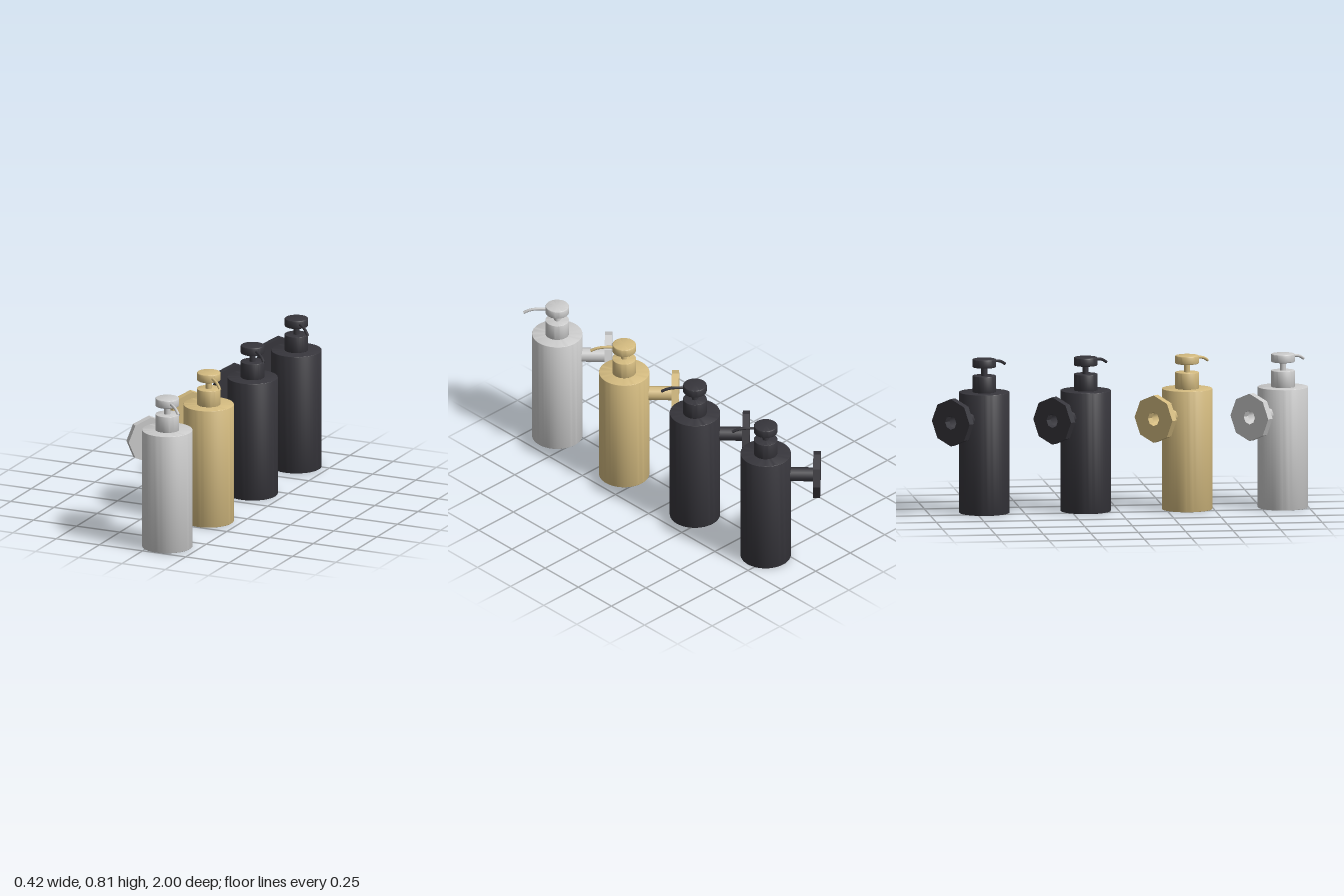
import * as THREE from 'three';
import { toCreasedNormals } from 'three/addons/utils/BufferGeometryUtils.js';

const BOTTLE_R = 0.132, MOUNT_Y = 0.506;

function material(name, color) {
  const m = new THREE.MeshStandardMaterial({ color, side: THREE.DoubleSide });
  m.name = name;
  return m;
}

// Upright turned solid with slightly softened rims
function turned(radius, y0, y1, bevel) {
  const b = bevel, pts = [[0, y0], [radius - b, y0]];
  for (const a of [0.25, 0.5, 0.75, 1]) {
    const t = a * Math.PI / 2;
    pts.push([radius - b + b * Math.sin(t), y0 + b - b * Math.cos(t)]);
  }
  for (const a of [0, 0.25, 0.5, 0.75, 1]) {
    const t = a * Math.PI / 2;
    pts.push([radius - b + b * Math.cos(t), y1 - b + b * Math.sin(t)]);
  }
  pts.push([0, y1]);
  const g = new THREE.LatheGeometry(pts.map(p => new THREE.Vector2(...p)), 48);
  return toCreasedNormals(g, 0.6);
}

// Octagonal wall plate with a central bore
function plateGeometry() {
  const ring = r => Array.from({ length: 8 }, (_, i) =>
    new THREE.Vector2(r * Math.cos(i * Math.PI / 4), r * Math.sin(i * Math.PI / 4)));
  const shape = new THREE.Shape(ring(0.125));
  shape.holes.push(new THREE.Path(ring(0.037).reverse()));
  return new THREE.ExtrudeGeometry(shape, { depth: 0.037, bevelEnabled: false });
}

function spoutGeometry() {
  const path = new THREE.CatmullRomCurve3([
    [0.05, 0.790, 0], [0.085, 0.790, 0], [0.115, 0.788, 0], [0.145, 0.781, 0], [0.175, 0.766, 0],
  ].map(([z, y, x]) => new THREE.Vector3(x, y, z)));
  return new THREE.TubeGeometry(path, 20, 0.0075, 12, false);
}

export function createModel() {
  const model = new THREE.Group();
  model.name = 'soapDispensers';

  const silver = material('silver', 0xcccccc);
  const gold = material('gold', 0xd4bb80);
  const black = material('black', 0x37363c);

  const rod = new THREE.CylinderGeometry(0.0375, 0.0375, 0.14, 8, 1, true);
  rod.rotateX(Math.PI / 2);
  const parts = [
    ['bottle', turned(BOTTLE_R, 0, 0.637, 0.002), 0, 0],
    ['collar', turned(0.062, 0.636, 0.723, 0.002), 0, 0],
    ['pumpStem', new THREE.CylinderGeometry(0.016, 0.016, 0.05, 24), 0.745, 0],
    ['pumpHead', turned(0.062, 0.767, 0.811, 0.006), 0, 0],
    ['spout', spoutGeometry(), 0, 0],
    ['mountRod', rod, MOUNT_Y, -0.19],
    ['wallPlate', plateGeometry(), MOUNT_Y, -0.286],
  ];

  // Row of identical dispensers, each turned so the spout points front left
  [[silver, 0.867], [gold, 0.362], [black, -0.172], [black, -0.706]].forEach(([mat, z], i) => {
    const dispenser = new THREE.Group();
    dispenser.name = `dispenser${i + 1}`;
    for (const [name, geometry, py, pz] of parts) {
      const mesh = new THREE.Mesh(geometry, mat);
      mesh.name = name;
      mesh.position.set(0, py, pz);
      dispenser.add(mesh);
    }
    dispenser.position.set(0.08, 0, z);
    dispenser.rotation.y = Math.PI / 4;
    model.add(dispenser);
  });
  return model;
}
